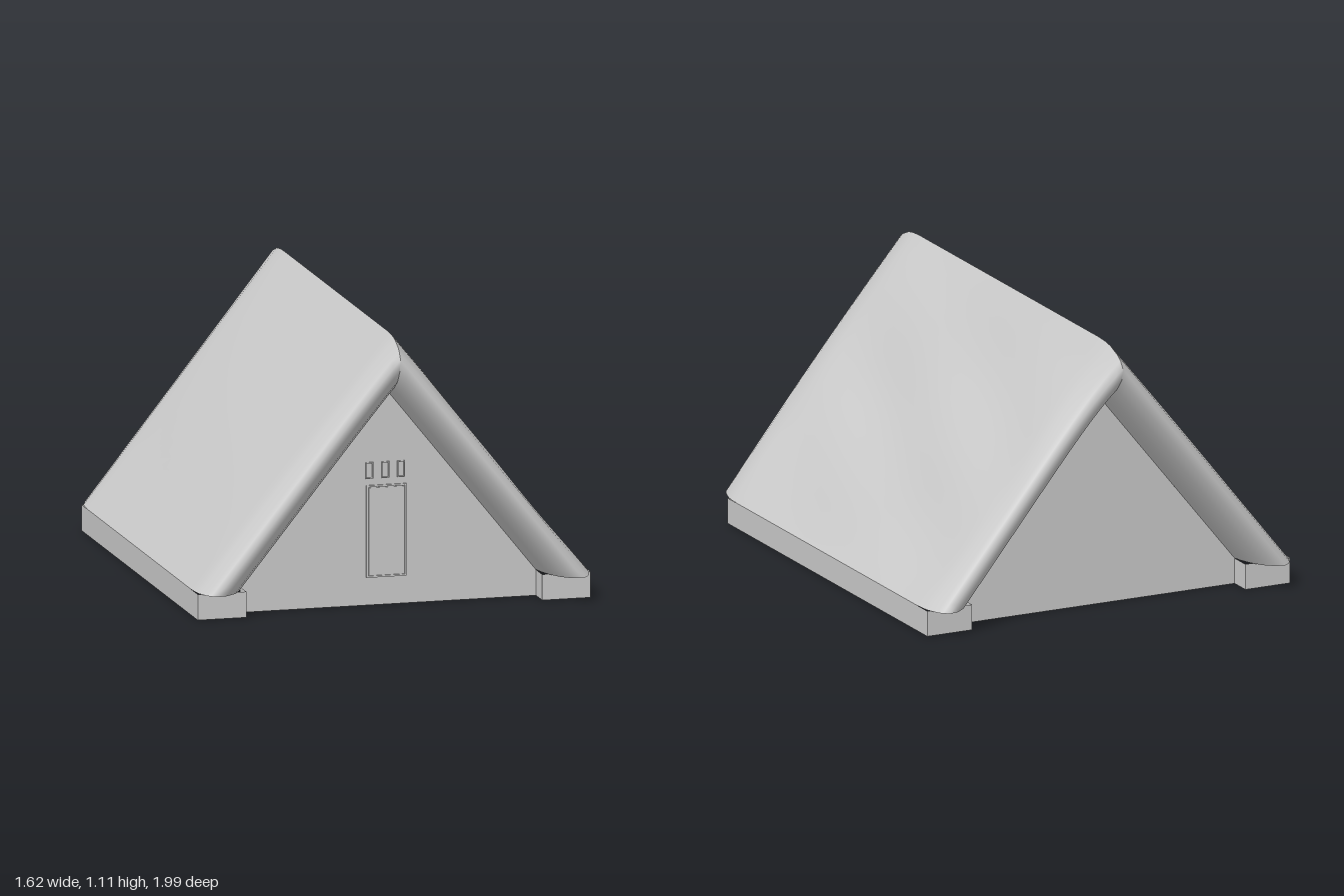
import * as THREE from 'three';

const EAVE_Y = 0.105, WALL_X = 0.81, INNER_X = 0.61, WALL_Z = 0.875, GABLE_Z = 0.78;
const INNER_TOP = 0.865, OUTER_TOP = 1.11;
const grey = new THREE.MeshStandardMaterial({ color: 0xcccccc, side: THREE.DoubleSide });

// Half of the roof profile at one gable end: [thickness fraction, overhang fraction]
const roll = [[0, 0], [0.04, 0.2], [0.13, 0.48], [0.28, 0.76], [0.48, 0.95], [0.68, 1],
  [0.8, 0.9], [0.87, 0.78], [0.96, 0.5], [0.99, 0.28], [1, 0]];

function addMesh(parent, name, geometry) {
  const m = new THREE.Mesh(geometry, grey);
  m.name = name;
  parent.add(m);
  return m;
}

// How far the thatch reaches out over each gable (u: 0 at the eave, 1 at the ridge)
function overhang(side, u, end) {
  if (end > 0) return side > 0 ? 0.985 + 0.015 * Math.sin(Math.PI * u) - 0.015 * u : 0.945 + 0.025 * u ** 6;
  return side > 0 ? 0.95 + 0.05 * u ** 8 : 0.96 + 0.04 * u;
}

// One point of the roof skin: t runs from the inner line to the outer surface
function roofPoint(side, u, t, z) {
  const body = Math.max(0, 1 - (z / 0.95) ** 4) * Math.sin(Math.PI * u);
  const wave = side > 0
    ? -0.07 + 0.09 * Math.sin(6 * u + 3.5 * z) + 0.04 * Math.sin(13 * u - 5 * z)
    : 0.05 + 0.03 * Math.sin(4 * u + 2 * z);
  const k = t > 0.9 ? t + body * wave : t;
  const x = THREE.MathUtils.lerp(INNER_X, WALL_X, k) * (1 - u);
  const y = EAVE_Y + u * (THREE.MathUtils.lerp(INNER_TOP, OUTER_TOP, k) - EAVE_Y);
  return [side * x, y, z];
}

// Profile of the roof from the front gable, over the outside, to the back gable
function roofProfile(side, u) {
  const end = (dir) => roll.map(([t, k]) => [t, dir * (GABLE_Z + k * (overhang(side, u, dir) - GABLE_Z))]);
  const middle = [];
  for (let i = 1; i < 14; i++) middle.push([1, GABLE_Z * (1 - i / 7)]);
  return [...end(1), ...middle, ...end(-1).reverse()];
}

function roofSlope(side) {
  const rows = 28, pos = [], index = [];
  let cols = 0;
  for (let i = 0; i <= rows; i++) {
    const u = i / rows, profile = roofProfile(side, u);
    cols = profile.length;
    for (const [t, z] of profile) pos.push(...roofPoint(side, u, t, z));
  }
  for (let i = 0; i < rows; i++) {
    for (let j = 0; j < cols - 1; j++) {
      const a = i * cols + j, b = a + 1, c = a + cols, d = c + 1;
      if (side > 0) index.push(a, b, c, b, d, c);
      else index.push(a, c, b, b, c, d);
    }
  }
  const g = new THREE.BufferGeometry();
  g.setAttribute('position', new THREE.Float32BufferAttribute(pos, 3));
  g.setIndex(index);
  g.computeVertexNormals();
  return g;
}

// Flat underside closing the roof at eave height
function eavePlate() {
  const edge = (side) => roofProfile(side, 0).map(([t, z]) => {
    const p = roofPoint(side, 0, t, z);
    return new THREE.Vector2(p[0], p[2]);
  });
  const g = new THREE.ShapeGeometry(new THREE.Shape([...edge(1), ...edge(-1).reverse()]));
  return g.rotateX(Math.PI / 2).translate(0, EAVE_Y, 0);
}

// Low wall ring, stepped in at both gables and open underneath
function baseWalls() {
  const group = new THREE.Group();
  group.name = 'baseWalls';
  const quarter = [[WALL_X, WALL_Z], [INNER_X, WALL_Z], [INNER_X, GABLE_Z]];
  const flip = (sx, sz) => quarter.map(([x, z]) => [x * sx, z * sz]);
  const ring = [...flip(1, 1), ...flip(-1, 1).reverse(), ...flip(-1, -1), ...flip(1, -1).reverse()];
  ring.forEach(([x0, z0], i) => {
    const [x1, z1] = ring[(i + 1) % ring.length];
    const g = new THREE.PlaneGeometry(Math.hypot(x1 - x0, z1 - z0), EAVE_Y);
    // Turn each panel so that it faces out of the ring
    g.rotateY(Math.atan2(z1 - z0, x0 - x1));
    g.translate((x0 + x1) / 2, EAVE_Y / 2, (z0 + z1) / 2);
    addMesh(group, 'wallPanel', g);
  });
  return group;
}

// Thin raised rectangular frame on the front gable
function frame(name, x, y, w, h, line) {
  const rect = (P, a, b) => new P([[-a, -b], [a, -b], [a, b], [-a, b]].map((p) => new THREE.Vector2(...p)));
  const shape = rect(THREE.Shape, w / 2, h / 2);
  shape.holes.push(rect(THREE.Path, w / 2 - line, h / 2 - line));
  const g = new THREE.ExtrudeGeometry(shape, { depth: 0.006, bevelEnabled: false });
  const m = new THREE.Mesh(g, grey);
  m.name = name;
  m.position.set(x, y, GABLE_Z);
  return m;
}

export function createModel() {
  const house = new THREE.Group();
  house.name = 'turfHouse';

  // Roof
  addMesh(house, 'leftRoofSlope', roofSlope(1));
  addMesh(house, 'rightRoofSlope', roofSlope(-1));
  addMesh(house, 'eavePlate', eavePlate());
  house.add(baseWalls());

  // Gables
  const triangle = new THREE.Shape();
  triangle.moveTo(-INNER_X, EAVE_Y);
  triangle.lineTo(INNER_X, EAVE_Y);
  triangle.lineTo(0, INNER_TOP);
  const gable = new THREE.ShapeGeometry(triangle);
  addMesh(house, 'frontGable', gable).position.z = GABLE_Z;
  const back = addMesh(house, 'backGable', gable);
  back.rotation.y = Math.PI;
  back.position.z = -GABLE_Z;

  // Door with three small windows above it
  house.add(frame('doorFrame', -0.007, 0.3, 0.165, 0.375, 0.007));
  const door = addMesh(house, 'door', new THREE.BoxGeometry(0.145, 0.355, 0.006));
  door.position.set(-0.007, 0.3, GABLE_Z);
  for (const x of [-0.077, -0.011, 0.053]) house.add(frame('window', x, 0.548, 0.032, 0.066, 0.004));

  return house;
}
